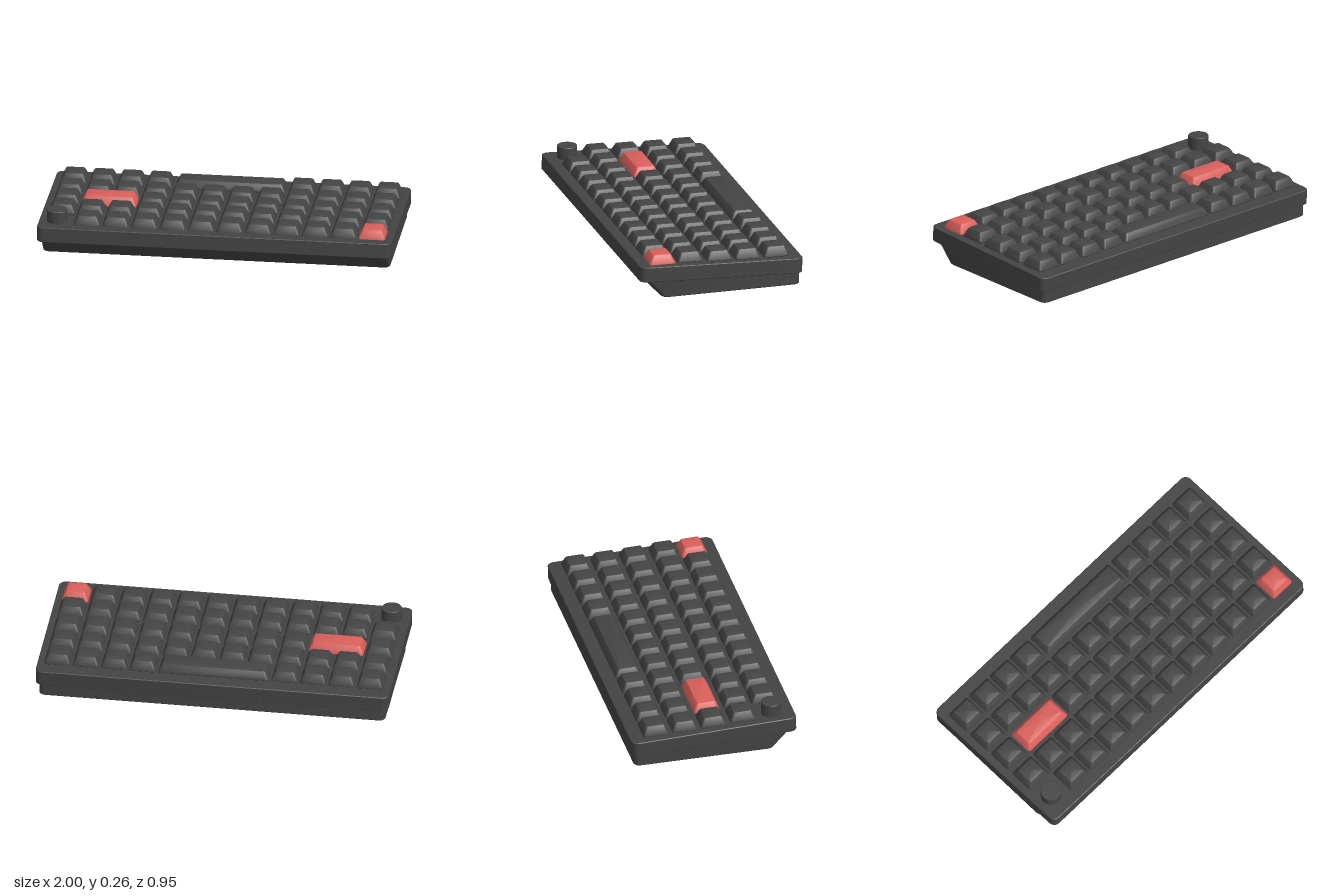
import * as THREE from 'three';
import { toCreasedNormals } from 'three/addons/utils/BufferGeometryUtils.js';

const DARK = new THREE.MeshStandardMaterial({ color: 0x444444 });
const RED = new THREE.MeshStandardMaterial({ color: 0xd95f5a });

// Closed solid through rounded rectangles: [y, half width, z min, z max, corner radius]
function loft(sections, steps = 4) {
  const pos = [], idx = [], n = 4 * (steps + 1);
  for (const [y, hw, z0, z1, r] of sections) {
    const hz = (z1 - z0) / 2 - r, cz = (z0 + z1) / 2;
    for (let q = 0; q < 4; q++) {
      const sx = q === 0 || q === 3 ? 1 : -1, sz = q < 2 ? 1 : -1;
      for (let k = 0; k <= steps; k++) {
        const a = (q + k / steps) * Math.PI / 2;
        pos.push(sx * (hw - r) + r * Math.cos(a), y, cz + sz * hz + r * Math.sin(a));
      }
    }
  }
  const last = sections.length - 1;
  for (const s of [sections[0], sections[last]]) pos.push(0, s[0], (s[2] + s[3]) / 2);
  const bottom = n * sections.length;
  for (let j = 0; j < n; j++) {
    const k = (j + 1) % n;
    for (let i = 0; i < last; i++) {
      const a = i * n + j, b = i * n + k;
      idx.push(a, a + n, b, b, a + n, b + n);
    }
    idx.push(bottom, j, k, bottom + 1, last * n + k, last * n + j);
  }
  const g = new THREE.BufferGeometry();
  g.setAttribute('position', new THREE.Float32BufferAttribute(pos, 3));
  g.setIndex(idx);
  return toCreasedNormals(g, 0.5);
}

// Tapered cap with a short vertical skirt and a softened top edge
function capGeometry(w, d, h) {
  const s = (y, inset, r) => [y, w / 2 - inset, -d / 2 + inset, d / 2 - inset, r];
  return loft([s(0, 0.003, 0.012), s(0.003, 0, 0.014), s(0.011, 0.001, 0.014),
    s(h - 0.008, 0.019, 0.01), s(h - 0.002, 0.023, 0.009), s(h, 0.028, 0.007)], 3);
}

export function createModel() {
  const model = new THREE.Group();
  const add = (name, geo, mat, x = 0, y = 0, z = 0, tilt = 0) => {
    const m = new THREE.Mesh(geo, mat);
    m.name = name;
    m.position.set(x, y, z);
    m.rotation.x = tilt;
    model.add(m);
    return m;
  };

  // Lower case with its sloping front face
  add('lowerCase', loft([
    [0, 0.976, -0.456, 0.34, 0.03], [0.004, 0.98, -0.46, 0.347, 0.032],
    [0.1, 0.98, -0.46, 0.437, 0.032],
  ]), DARK);

  // Tilted upper case
  const z0 = -0.47, z1 = 0.481;
  add('upperCase', loft([
    [0.09, 0.997, z0 + 0.003, z1 - 0.003, 0.035], [0.093, 1, z0, z1, 0.038],
    [0.173, 1, z0, z1, 0.038], [0.1765, 0.996, z0 + 0.004, z1 - 0.004, 0.035],
  ], 5), DARK, 0, 0, 0, -0.038);

  // Key rows: z centre, base height, top height, keys as [first column, span, red]
  const singles = (a, b) => Array.from({ length: b - a + 1 }, (_, i) => [a + i, 1]);
  const rows = [
    { z: 0.336, y: 0.188, top: 0.243, keys: [...singles(1, 10), [11, 1, true]] },
    { z: 0.175, y: 0.187, top: 0.243, keys: singles(0, 11) },
    { z: 0.004, y: 0.178, top: 0.233, keys: [[0, 1], [1, 2, true], ...singles(3, 11)] },
    { z: -0.161, y: 0.171, top: 0.228, keys: singles(0, 11) },
    { z: -0.329, y: 0.168, top: 0.226, keys: [...singles(0, 3), [4, 4], ...singles(8, 11)] },
  ];
  const pitch = 0.161, stem = new THREE.BoxGeometry(0.06, 0.03, 0.06);
  for (const row of rows) {
    const shapes = {};
    for (const [col, span, red] of row.keys) {
      const long = span === 4;
      const top = long ? row.top - 0.008 : row.top;
      shapes[span] ??= capGeometry(span * pitch - (long ? 0.02 : 0.012), 0.148, top - row.y);
      const x = -0.885 + pitch * (col + (span - 1) / 2);
      const name = long ? 'spaceKey' : red ? 'accentKey' : 'key';
      add(name, shapes[span], red ? RED : DARK, x, row.y, row.z, -0.015);
      add('keyStem', stem, DARK, x, row.y - 0.008, row.z);
    }
  }

  // Rotary knob
  const knob = [[0, 0], [0.057, 0], [0.057, 0.084], [0.055, 0.087], [0, 0.087]]
    .map(([x, y]) => new THREE.Vector2(x, y));
  add('knob', toCreasedNormals(new THREE.LatheGeometry(knob, 40), 0.5), DARK, -0.898, 0.175, 0.348);

  return model;
}
